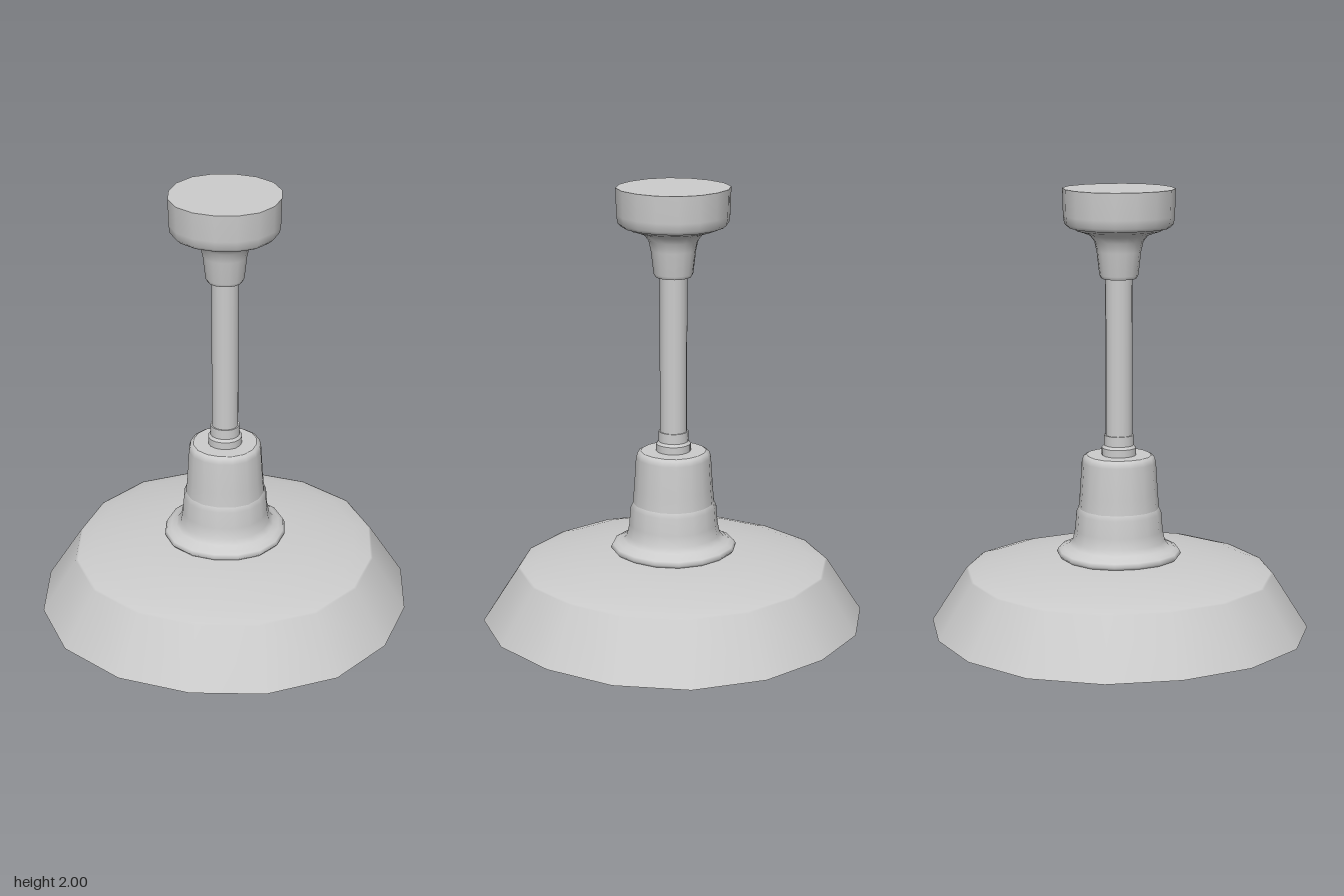
import * as THREE from 'three';
import { mergeGeometries } from 'three/addons/utils/BufferGeometryUtils.js';

const SIDES = 16;
const material = new THREE.MeshStandardMaterial({ color: 0xcccccc });

// Turned part: each strip of [radius, y] is smooth, with a sharp edge between strips.
// The round section is slightly fuller on the diagonals.
function turned(name, ...strips) {
  const geometry = mergeGeometries(strips.map(strip =>
    new THREE.LatheGeometry(strip.map(([r, y]) => new THREE.Vector2(r, y)), SIDES)));
  const position = geometry.attributes.position;
  for (let i = 0; i < position.count; i++) {
    const x = position.getX(i), z = position.getZ(i);
    const swell = 1 + 0.03 * Math.sin(2 * Math.atan2(z, x)) ** 2;
    position.setXYZ(i, x * swell, position.getY(i), z * swell);
  }
  const mesh = new THREE.Mesh(geometry, material);
  mesh.name = name;
  return mesh;
}

export function createModel() {
  const lamp = new THREE.Group();
  lamp.name = 'pendantLamp';

  // Thick shade: gently domed reflector, flat rim, then skirt and shallow dome
  const reflector = [0, 0.2, 0.4, 0.55, 0.68, 0.785]
    .map(r => [r, 0.28 * (1 - (r / 0.785) ** 2.2)]);
  lamp.add(turned('shade',
    reflector,
    [[0.785, 0], [0.852, 0]],
    [[0.852, 0], [0.695, 0.25], [0.685, 0.254], [0.61, 0.277], [0.45, 0.305],
      [0.26, 0.328], [0, 0.33]]));

  // Flared socket housing with a rounded foot and a raised lower sleeve
  lamp.add(turned('socketHousing',
    [[0.25, 0.32], [0.268, 0.326], [0.28, 0.34], [0.272, 0.356], [0.25, 0.366]],
    [[0.25, 0.366], [0.225, 0.378], [0.207, 0.4], [0.197, 0.45], [0.191, 0.53], [0.181, 0.552]],
    [[0.181, 0.552], [0.175, 0.62], [0.166, 0.765], [0.159, 0.788], [0.145, 0.796]],
    [[0.145, 0.796], [0, 0.796]]));

  // Stepped coupling between housing and stem
  lamp.add(turned('coupling',
    [[0.077, 0.79], [0.077, 0.83]],
    [[0.077, 0.83], [0.067, 0.842]],
    [[0.067, 0.842], [0.066, 0.888]],
    [[0.066, 0.888], [0, 0.888]]));

  lamp.add(turned('stem', [[0.06, 0.88], [0.06, 1.61]]));

  // Ceiling canopy: tapered neck, rounded underside, straight cup
  lamp.add(turned('canopy',
    [[0, 1.6], [0.078, 1.6]],
    [[0.078, 1.6], [0.086, 1.615], [0.098, 1.72], [0.108, 1.765], [0.13, 1.793],
      [0.165, 1.807], [0.195, 1.816], [0.205, 1.825], [0.225, 1.828], [0.24, 1.843],
      [0.245, 1.88], [0.248, 2]],
    [[0.248, 2], [0, 2]]));

  return lamp;
}
